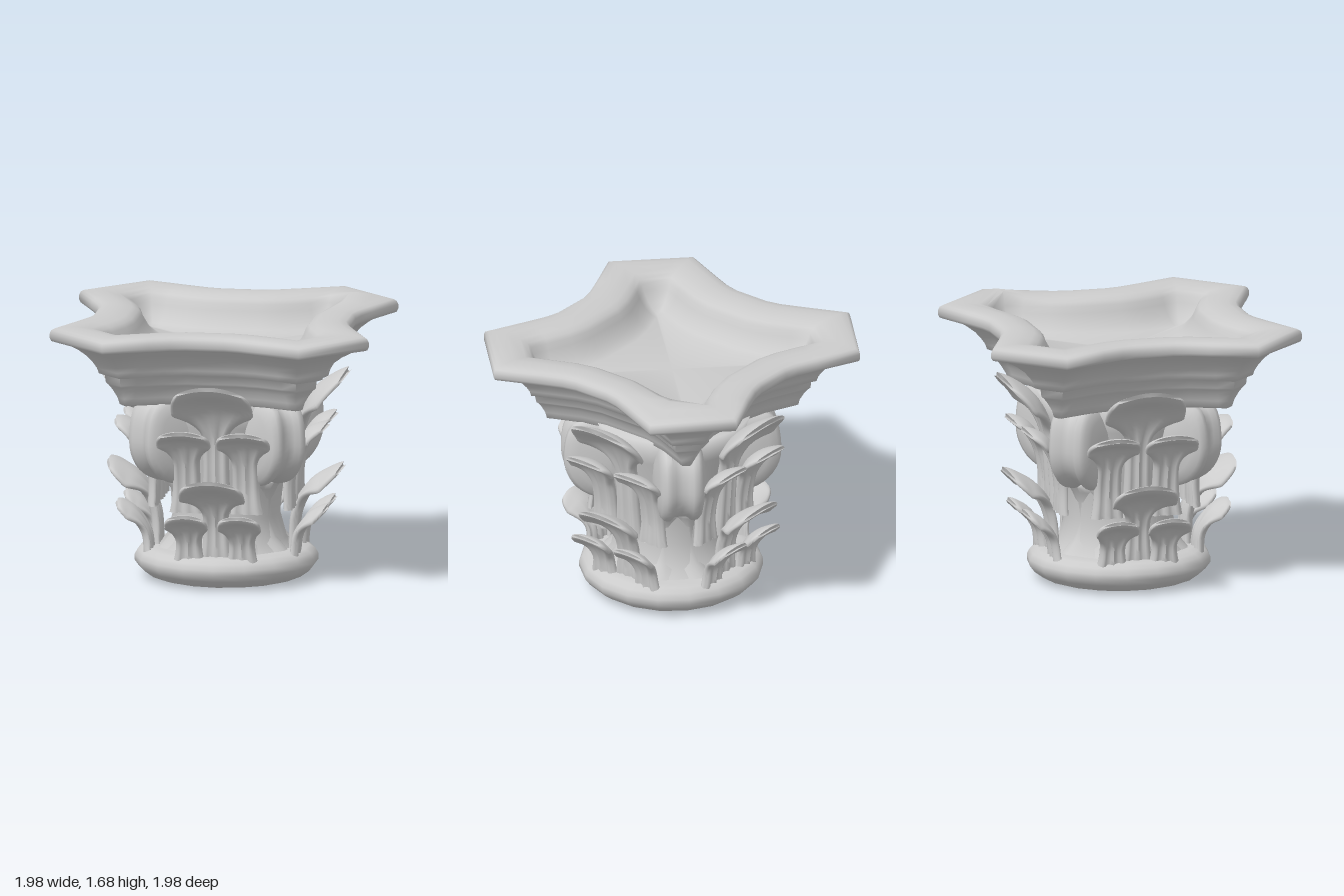
import * as THREE from 'three';
import { toCreasedNormals } from 'three/addons/utils/BufferGeometryUtils.js';

const material = new THREE.MeshStandardMaterial({ color: 0xcccccc });

function addMesh(parent, name, geometry) {
  const mesh = new THREE.Mesh(geometry, material);
  mesh.name = name;
  parent.add(mesh);
  return mesh;
}

// Closed solid through a list of equal-length rings of Vector3, capped at both ends
function loft(rings, crease) {
  const n = rings[0].length;
  const points = rings.flat();
  const index = [];
  for (let i = 0; i < rings.length - 1; i++) {
    for (let j = 0; j < n; j++) {
      const a = i * n + j, b = i * n + (j + 1) % n;
      index.push(a, b, b + n, a, b + n, a + n);
    }
  }
  [0, rings.length - 1].forEach((r, end) => {
    const centre = new THREE.Vector3();
    rings[r].forEach(p => centre.addScaledVector(p, 1 / n));
    const c = points.push(centre) - 1;
    for (let j = 0; j < n; j++) {
      const a = r * n + j, b = r * n + (j + 1) % n;
      end ? index.push(a, b, c) : index.push(b, a, c);
    }
  });
  // Turn the faces outwards if the enclosed volume is negative
  let volume = 0;
  const cross = new THREE.Vector3();
  for (let i = 0; i < index.length; i += 3) {
    cross.crossVectors(points[index[i + 1]], points[index[i + 2]]);
    volume += points[index[i]].dot(cross);
  }
  if (volume < 0) index.reverse();
  const geometry = new THREE.BufferGeometry().setFromPoints(points);
  geometry.setIndex(index);
  return toCreasedNormals(geometry, crease);
}

// Star-like outline of the top slab: four concave sides and clipped corners
function slabOutline() {
  const side = [[-0.61, 0.99], [-0.34, 0.873], [-0.21, 0.82], [-0.12, 0.8],
    [0.12, 0.8], [0.21, 0.82], [0.34, 0.873], [0.61, 0.99]];
  const outline = [];
  for (let k = 0; k < 4; k++) {
    for (const [x, z] of side) {
      outline.push(new THREE.Vector2(x, z).rotateAround(new THREE.Vector2(), -k * Math.PI / 2));
    }
  }
  return outline;
}

// Moves every edge of the outline inwards by d
function inset(outline, d) {
  const n = outline.length;
  const inward = (a, b) => {
    const e = b.clone().sub(a).normalize();
    return new THREE.Vector2(e.y, -e.x);
  };
  return outline.map((p, i) => {
    const n1 = inward(outline[(i + n - 1) % n], p);
    const n2 = inward(p, outline[(i + 1) % n]);
    return n1.clone().add(n2).multiplyScalar(d / (1 + n1.dot(n2))).add(p);
  });
}

// Moulded slab with a recess in its top; levels are [inset, height]
function slabGeometry() {
  const levels = [
    [0.37, 1.15], [0.355, 1.16], [0.345, 1.2], [0.32, 1.25], [0.3, 1.28], [0.285, 1.295],
    [0.28, 1.34], [0.25, 1.352], [0.24, 1.385], [0.22, 1.42], [0.19, 1.46], [0.145, 1.5],
    [0.09, 1.535], [0.07, 1.55], [0.025, 1.55], [0.008, 1.557], [0, 1.575], [0, 1.605], [0.008, 1.625],
    [0.025, 1.636], [0.07, 1.643], [0.13, 1.645], [0.21, 1.633], [0.25, 1.615], [0.27, 1.59],
    [0.285, 1.55], [0.32, 1.49], [0.36, 1.45], [0.39, 1.435]
  ];
  const outline = slabOutline();
  return loft(levels.map(([d, y]) => inset(outline, d).map(p => {
    // the inner rim is slightly raised at one back corner
    const near = Math.exp(-((p.x - 0.68) ** 2 + (p.y + 0.57) ** 2) / 0.02);
    const lift = d > 0.1 && y > 1.6 ? 0.06 * near : 0;
    return new THREE.Vector3(p.x, y + lift, p.y);
  })), 1.25);
}

// Fan-shaped leaf curling outwards along a spine of [z, y] points;
// it widens from stem to width between the fractions in fanRange
function leafGeometry(spine, width, stem, thickness, fanRange) {
  const curve = new THREE.CatmullRomCurve3(spine.map(([z, y]) => new THREE.Vector3(0, y, z)));
  const rings = [];
  const steps = 28, around = 32;
  for (let i = 0; i <= steps; i++) {
    const t = i / steps;
    const p = curve.getPointAt(t), T = curve.getTangentAt(t);
    const N = new THREE.Vector3(0, -T.z, T.y);
    const fan = THREE.MathUtils.smoothstep(t, ...fanRange);
    const end = Math.max(0, (t - 0.8) / 0.2);
    const flare = 1 + 0.25 * Math.max(0, 1 - t / 0.3) ** 2;
    const w = (stem * flare + (width - stem) * fan) * (1 - 0.2 * end ** 3);
    const half = thickness / 2 * (1 - 0.5 * end ** 6);
    const ring = [];
    for (let j = 0; j < around; j++) {
      const a = j / around * Math.PI * 2;
      const s = Math.cos(a), h = Math.sin(a);
      const ribs = 0.009 * Math.cos(3 * Math.PI * s) * (1 - fan);
      const cup = (0.28 * fan * (1 - end) + 0.1 * end) * w * s * s;
      const out = cup + ribs + half * Math.sign(h) * Math.sqrt(Math.abs(h));
      const q = p.clone().addScaledVector(N, out);
      q.addScaledVector(T, -0.22 * width * s * s * fan * t);
      q.x = s * w;
      ring.push(q);
    }
    rings.push(ring);
  }
  return loft(rings, 1.2);
}

// Flaring support under each scroll, pointing along +z
function stalkGeometry() {
  const sections = [[0.15, 0.24, 0.46], [0.21, 0.21, 0.41], [0.28, 0.165, 0.36], [0.4, 0.135, 0.325],
    [0.52, 0.14, 0.34], [0.59, 0.16, 0.37], [0.63, 0.175, 0.395], [0.66, 0.165, 0.38]];
  return loft(sections.map(([y, w, r]) => {
    const ring = [];
    for (let j = 0; j < 32; j++) {
      const a = j / 32 * Math.PI * 2, c = Math.cos(a), s = Math.sin(a);
      const k = (c ** 4 + s ** 4) ** -0.25;
      const groove = s > 0 ? 0.025 * Math.exp(-c * c / 0.08) : 0;
      ring.push(new THREE.Vector3(c * k * w, y, r / 2 + s * k * r / 2 - groove));
    }
    return ring;
  }), 1);
}

// Thick grooved disc with full sides, squared off towards the top, its rim facing +z
function scrollGeometry() {
  const profile = [[0, -0.16], [0.1, -0.155], [0.19, -0.14], [0.245, -0.125], [0.27, -0.1], [0.272, -0.065],
    [0.25, -0.04], [0.245, 0], [0.25, 0.04], [0.272, 0.065], [0.27, 0.1], [0.245, 0.125], [0.19, 0.14],
    [0.1, 0.155], [0, 0.16]].map(([x, y]) => new THREE.Vector2(x, y));
  const geometry = new THREE.LatheGeometry(profile, 40);
  geometry.rotateZ(Math.PI / 2);
  const pos = geometry.attributes.position;
  for (let i = 0; i < pos.count; i++) {
    const y = pos.getY(i), z = pos.getZ(i), r = Math.hypot(y, z);
    if (y > 0 && r > 0) {
      const k = ((y / r) ** 4 + (z / r) ** 4) ** -0.25;
      pos.setY(i, y * k);
      pos.setZ(i, z * (1 + (k - 1) * 0.7));
    }
  }
  return toCreasedNormals(geometry, 0.9);
}

export function createModel() {
  const model = new THREE.Group();
  model.name = 'columnCapital';
  addMesh(model, 'topSlab', slabGeometry());

  const lower = new THREE.Group();
  lower.name = 'lowerCapital';
  lower.position.set(0.015, 0, -0.005);
  model.add(lower);

  // Rounded base ring and the bell-shaped core
  const lathe = (profile, sides) =>
    new THREE.LatheGeometry(profile.map(([x, y]) => new THREE.Vector2(x, y)), sides);
  addMesh(lower, 'base', toCreasedNormals(lathe([[0, 0], [0.43, 0.005], [0.48, 0.02], [0.535, 0.06],
    [0.565, 0.1], [0.565, 0.135], [0.545, 0.17], [0.51, 0.192], [0.46, 0.2], [0, 0.205]], 18), 0.9));
  addMesh(lower, 'core', lathe([[0.43, 0.18], [0.37, 0.25], [0.33, 0.4], [0.35, 0.6], [0.4, 0.8],
    [0.44, 1], [0.5, 1.18], [0, 1.18]], 32));

  // Leaves of one face: [name, x positions, geometry]
  const leaves = [
    ['lowerSideLeaf', [-0.165, 0.165],
      leafGeometry([[0.45, 0.16], [0.47, 0.3], [0.545, 0.42], [0.655, 0.485]], 0.135, 0.08, 0.045, [0.3, 0.8])],
    ['lowerCentreLeaf', [0],
      leafGeometry([[0.42, 0.18], [0.44, 0.42], [0.54, 0.6], [0.73, 0.715]], 0.205, 0.08, 0.05, [0.4, 0.8])],
    ['upperSideLeaf', [-0.185, 0.185],
      leafGeometry([[0.42, 0.47], [0.42, 0.65], [0.46, 0.82], [0.54, 0.95], [0.66, 1.005]],
        0.17, 0.085, 0.05, [0.48, 0.85])],
    ['upperCentreLeaf', [0],
      leafGeometry([[0.42, 0.47], [0.43, 0.7], [0.46, 0.95], [0.56, 1.17], [0.76, 1.31]],
        0.255, 0.08, 0.055, [0.48, 0.8])]
  ];
  const stalk = stalkGeometry(), scroll = scrollGeometry();

  for (let k = 0; k < 4; k++) {
    const face = new THREE.Group();
    face.name = 'faceLeaves';
    face.rotation.y = k * Math.PI / 2;
    lower.add(face);
    for (const [name, xs, geometry] of leaves) {
      for (const x of xs) addMesh(face, name, geometry).position.x = x;
    }
    // Corner scroll on its stalk
    const corner = new THREE.Group();
    corner.name = 'cornerScroll';
    corner.rotation.y = (k + 0.5) * Math.PI / 2;
    lower.add(corner);
    addMesh(corner, 'stalk', stalk);
    addMesh(corner, 'scroll', scroll).position.set(0, 0.905, 0.4);
  }
  return model;
}
